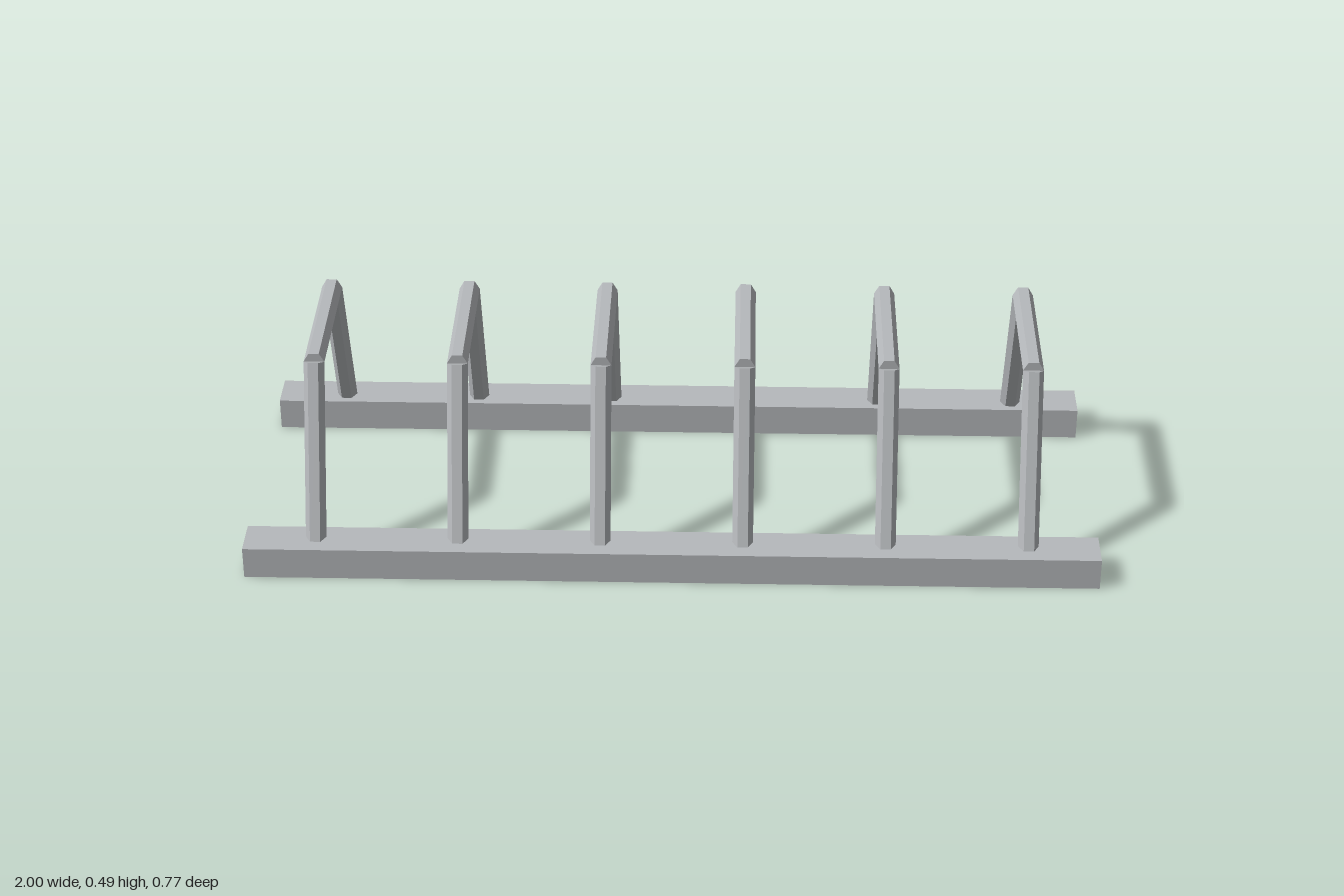
import * as THREE from 'three';

export function createModel() {
  const model = new THREE.Group();
  model.name = 'bikeRack';

  const steel = new THREE.MeshStandardMaterial({ color: 0xb6b9bc });
  steel.name = 'galvanised steel grey';
  steel.flatShading = true;

  const radius = 0.0243;
  const topY = 0.467, topZ = 0.178;
  const footY = 0.058, footZ = 0.333;

  // Six-sided bar in the yz plane, with a corner facing each side
  function bar(name, y0, z0, y1, z1) {
    const length = Math.hypot(y1 - y0, z1 - z0);
    const geometry = new THREE.CylinderGeometry(radius, radius, length, 6, 1, false, Math.PI / 6);
    const mesh = new THREE.Mesh(geometry, steel);
    mesh.name = name;
    mesh.position.set(0, (y0 + y1) / 2, (z0 + z1) / 2);
    mesh.rotation.x = Math.atan2(z1 - z0, y1 - y0);
    return mesh;
  }

  // Ground rails, front and back
  for (const side of [1, -1]) {
    const rail = new THREE.Mesh(new THREE.BoxGeometry(2, 0.078, 0.098), steel);
    rail.name = side > 0 ? 'frontRail' : 'backRail';
    rail.position.set(0, 0.039, side * 0.334);
    model.add(rail);
  }

  // Row of hoops, each with two leaning legs and a crossbar
  for (let i = 0; i < 6; i++) {
    const hoop = new THREE.Group();
    hoop.name = `hoop${i + 1}`;
    hoop.position.x = (i - 2.5) / 3;
    hoop.add(
      bar('frontLeg', footY, footZ, topY, topZ),
      bar('backLeg', footY, -footZ, topY, -topZ),
      bar('crossbar', topY, -topZ, topY, topZ)
    );
    model.add(hoop);
  }

  return model;
}
